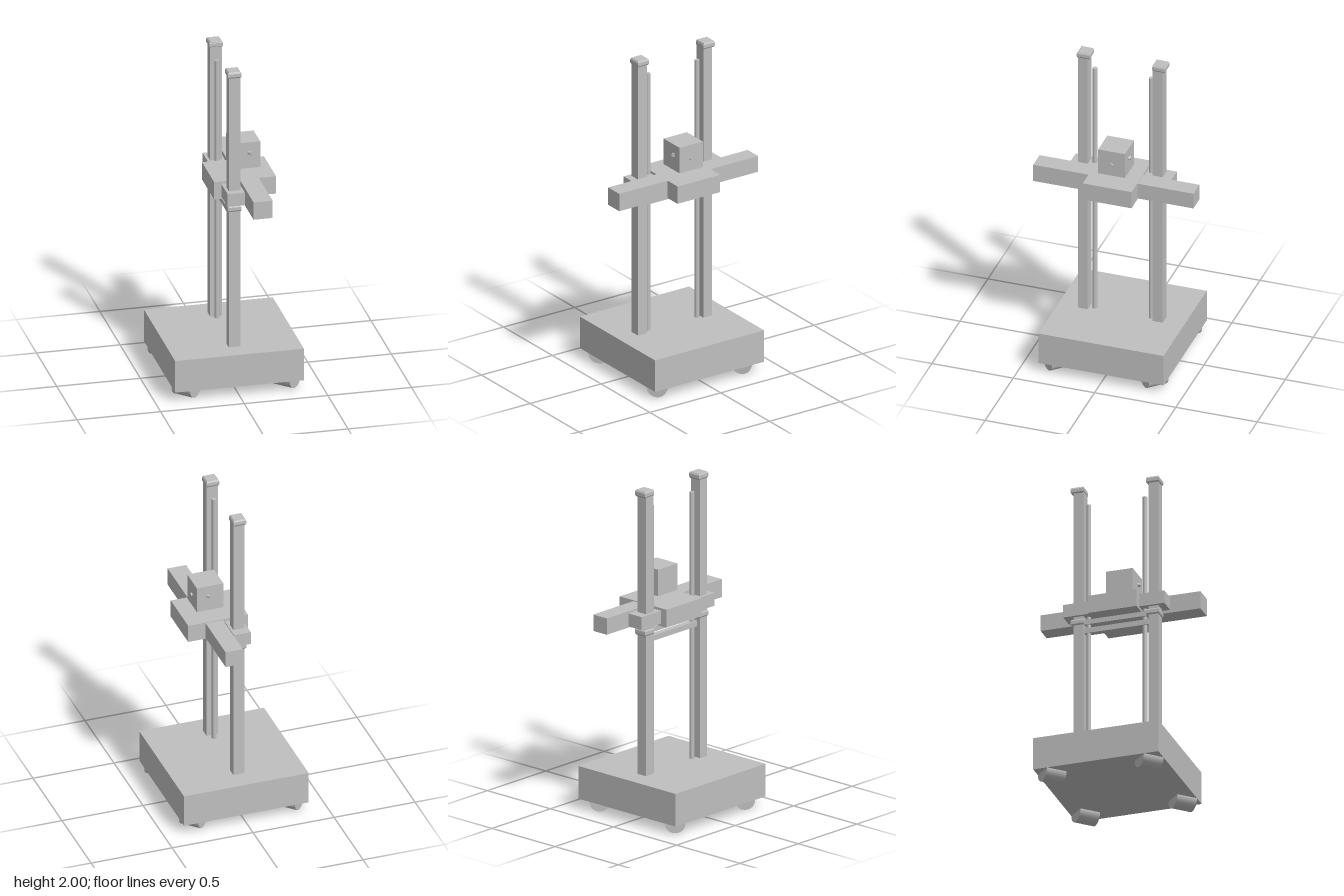
import * as THREE from 'three';

export function createModel() {
  const model = new THREE.Group();
  const grey = new THREE.MeshStandardMaterial({ color: 0xbfbfbf });
  grey.name = 'plain grey';

  const add = (name, geometry) => {
    const mesh = new THREE.Mesh(geometry, grey);
    mesh.name = name;
    model.add(mesh);
    return mesh;
  };
  // Box given by its low and high limits on each axis
  const box = (name, [x0, x1], [y0, y1], [z0, z1]) => {
    const mesh = add(name, new THREE.BoxGeometry(x1 - x0, y1 - y0, z1 - z0));
    mesh.position.set((x0 + x1) / 2, (y0 + y1) / 2, (z0 + z1) / 2);
    return mesh;
  };
  // Cylinder lying flat with its axis along the x = z diagonal
  const diagonalCylinder = (name, radius, length, x, y, z) => {
    const geometry = new THREE.CylinderGeometry(radius, radius, length, 32);
    geometry.rotateX(Math.PI / 2).rotateY(Math.PI / 4);
    add(name, geometry).position.set(x, y, z);
  };
  // Square cap with a chamfered top and bottom
  const collar = (name, y0, y1, z) => {
    const bevel = (y1 - y0) * 0.25;
    const profile = [[0, y0], [0.034, y0], [0.04, y0 + bevel], [0.04, y1 - bevel], [0.034, y1], [0, y1]]
      .map(([half, y]) => new THREE.Vector2(half * Math.SQRT2, y));
    const geometry = new THREE.LatheGeometry(profile, 4).rotateY(Math.PI / 4).toNonIndexed();
    geometry.computeVertexNormals();
    add(name, geometry).position.z = z;
  };

  // Base on four diagonal rollers
  box('base', [-0.385, 0.385], [0.06, 0.26], [-0.385, 0.385]);
  for (const x of [-0.298, 0.298]) {
    for (const z of [-0.298, 0.298]) diagonalCylinder('wheel', 0.06, 0.127, x, 0.06, z);
  }

  // Twin masts with caps, collars and guide rods
  box('frontMast', [-0.035, 0.035], [0.26, 1.998], [0.202, 0.263]);
  box('backMast', [-0.035, 0.035], [0.26, 1.998], [-0.259, -0.197]);
  for (const z of [0.228, -0.235]) {
    collar('mastCap', 1.96, 2, z);
    collar('mastCollar', 1.115, 1.155, z);
  }
  for (const z of [0.17, -0.176]) {
    add('guideRod', new THREE.CylinderGeometry(0.014, 0.014, 1.63, 24)).position.set(0, 1.075, z);
  }

  // Cross bars between the masts
  box('upperCrossBar', [-0.02, 0.02], [1.12, 1.15], [-0.2, 0.205]);
  box('lowerCrossBar', [-0.018, 0.018], [1.065, 1.098], [-0.198, 0.195]);

  // Carriage: plate, sleeves round the masts, and side arms
  box('carriagePlate', [-0.095, 0.275], [1.155, 1.265], [-0.15, 0.15]);
  box('frontSleeve', [-0.052, 0.051], [1.17, 1.25], [0.14, 0.306]);
  box('backSleeve', [-0.052, 0.051], [1.17, 1.25], [-0.316, -0.14]);
  box('frontArm', [0.058, 0.172], [1.155, 1.265], [0.15, 0.49]);
  box('backArm', [0.06, 0.167], [1.16, 1.26], [-0.493, -0.15]);

  // Sensor head with side knobs and a lens
  box('head', [0.033, 0.197], [1.303, 1.465], [-0.082, 0.082]);
  for (const z of [-0.078, 0.078]) diagonalCylinder('sideKnob', 0.011, 0.034, 0.131, 1.4, z);
  const lens = add('lens', new THREE.CylinderGeometry(0.011, 0.011, 0.03, 24));
  lens.rotation.z = Math.PI / 2;
  lens.position.set(0.193, 1.377, 0);

  return model;
}
